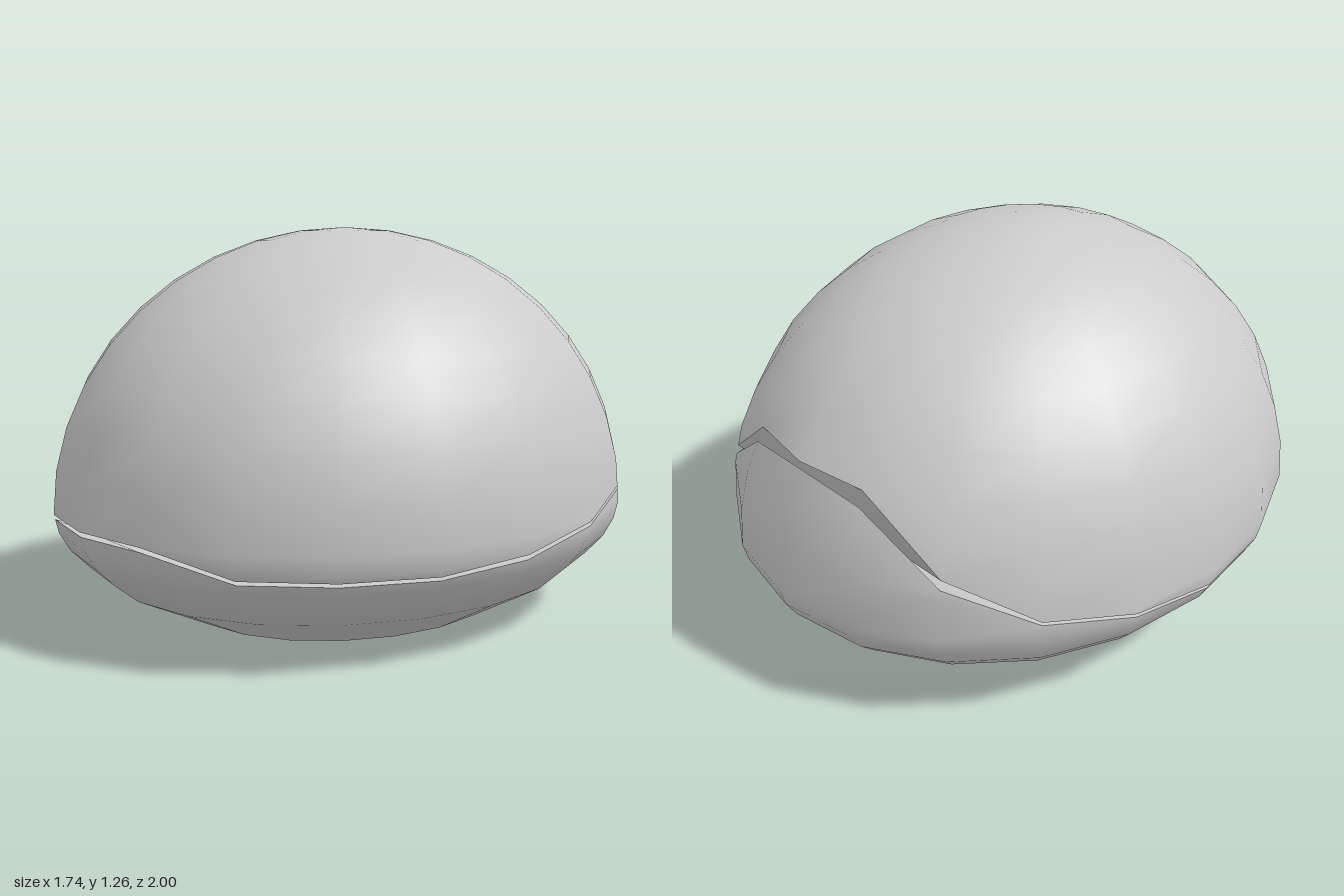
import * as THREE from 'three';
import { mergeVertices } from 'three/addons/utils/BufferGeometryUtils.js';

const SIDES = 20, WIDTH = 0.87, WAIST = 0.37, DOME = 0.89;

// Outline [radius, height]: flat foot, rounded bowl, quarter-ellipse dome
const profile = [[0.55, 0], [0.81, 0.125], [0.89, 0.19], [0.95, 0.25], [0.985, 0.31]];
for (let i = 0; i <= 10; i++) {
  const a = (i * Math.PI) / 20;
  profile.push([i === 10 ? 0 : Math.cos(a), WAIST + DOME * Math.sin(a)]);
}

// Seam heights from front (0 degrees) to back (180 degrees), one per side
const lidSeam = [0.372, 0.37, 0.295, 0.29, 0.288, 0.315, 0.362, 0.42, 0.57, 0.78, 0.785];
const baseSeam = [0.357, 0.355, 0.282, 0.278, 0.276, 0.298, 0.348, 0.41, 0.54, 0.735, 0.77];
const seamAt = (seam, j) => seam[j <= 10 ? j : SIDES - j];

function radiusAt(y) {
  for (let i = 1; i < profile.length; i++) {
    const [r0, y0] = profile[i - 1], [r1, y1] = profile[i];
    if (y <= y1) return r0 + ((r1 - r0) * (y - y0)) / (y1 - y0);
  }
  return 0;
}

function point(j, y) {
  const a = (j * 2 * Math.PI) / SIDES, r = radiusAt(y);
  return [WIDTH * r * Math.sin(a), y, r * Math.cos(a)];
}

function build(positions, index) {
  let g = new THREE.BufferGeometry();
  g.setAttribute('position', new THREE.Float32BufferAttribute(positions, 3));
  g.setIndex(index);
  g = mergeVertices(g, 1e-4);
  // drop triangles collapsed at the seam or the crown
  const kept = [], src = g.index.array;
  for (let i = 0; i < src.length; i += 3) {
    const [a, b, c] = [src[i], src[i + 1], src[i + 2]];
    if (a !== b && b !== c && a !== c) kept.push(a, b, c);
  }
  g.setIndex(kept);
  g.computeVertexNormals();
  return g;
}

// Outer skin: the rings of the outline, clamped to the seam
function shell(seam, clamp) {
  const pos = [], index = [], n = profile.length;
  for (let j = 0; j < SIDES; j++) {
    for (const [, y] of profile) pos.push(...point(j, clamp(y, seamAt(seam, j))));
    for (let i = 0; i < n - 1; i++) {
      const a = j * n + i, b = ((j + 1) % SIDES) * n + i;
      index.push(a, b, b + 1, a, b + 1, a + 1);
    }
  }
  return build(pos, index);
}

// Wavy closing face, level from left to right
function seamFace(seam, up) {
  const pos = [], index = [];
  for (let j = 0; j <= 10; j++) {
    pos.push(...point(j, seam[j]), ...point(SIDES - j, seam[j]));
    if (j === 10) break;
    const a = 2 * j;
    if (up) index.push(a, a + 2, a + 3, a, a + 3, a + 1);
    else index.push(a, a + 3, a + 2, a, a + 1, a + 3);
  }
  return build(pos, index);
}

export function createModel() {
  const group = new THREE.Group();
  const material = new THREE.MeshStandardMaterial({ color: 0xcccccc });
  const add = (name, geometry, parent) => {
    const mesh = new THREE.Mesh(geometry, material);
    mesh.name = name;
    parent.add(mesh);
  };

  const lid = new THREE.Group();
  lid.name = 'lid';
  add('lidDome', shell(lidSeam, Math.max), lid);
  add('lidUnderside', seamFace(lidSeam, false), lid);

  const base = new THREE.Group();
  base.name = 'base';
  add('baseBowl', shell(baseSeam, Math.min), base);
  add('baseRim', seamFace(baseSeam, true), base);

  // Flat foot, lined up with the sides of the bowl
  const foot = new THREE.CircleGeometry(0.55, SIDES);
  foot.rotateX(Math.PI / 2);
  foot.scale(WIDTH, 1, 1);
  add('foot', foot, base);

  group.add(lid, base);
  return group;
}
